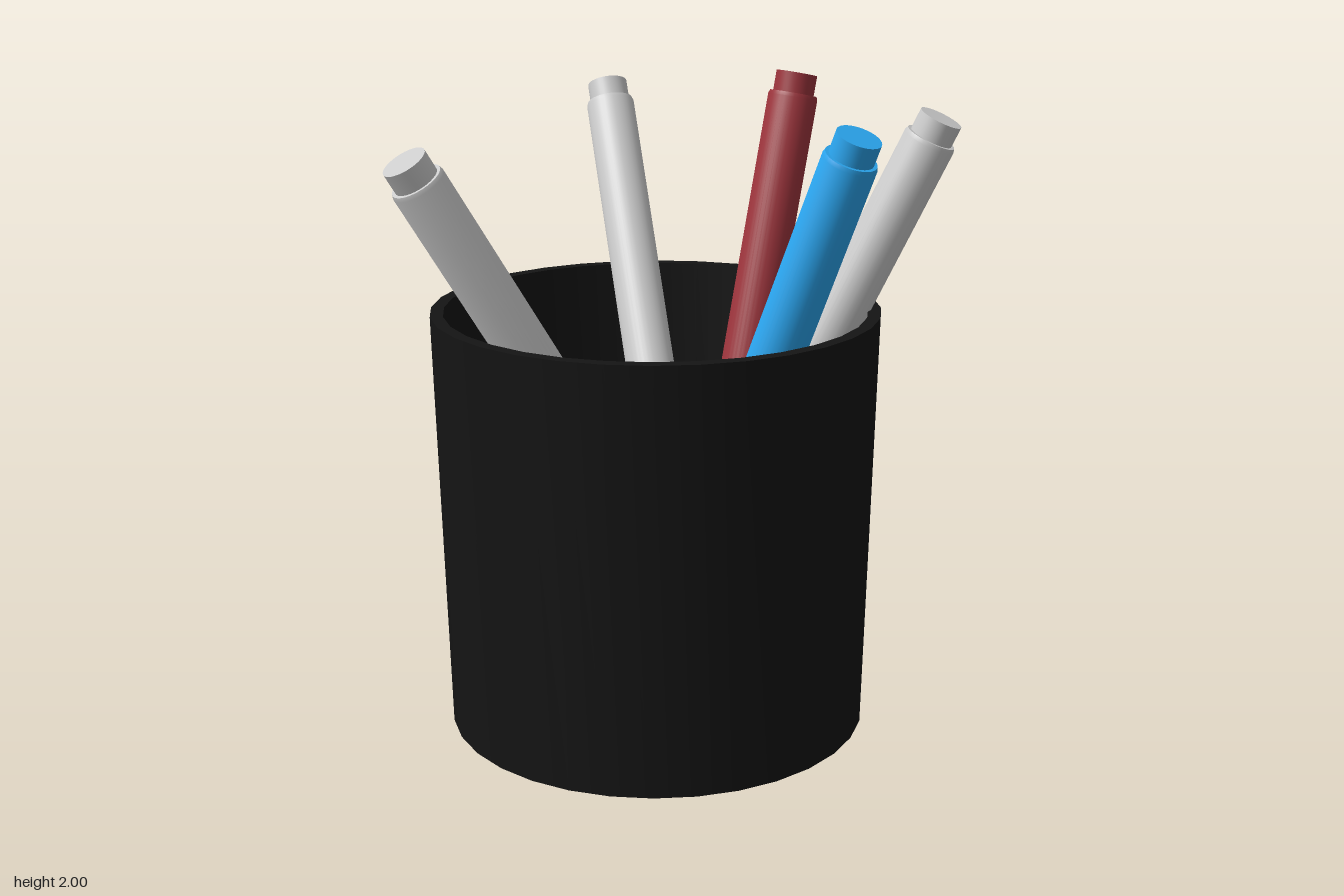
import * as THREE from 'three';
import { toCreasedNormals } from 'three/addons/utils/BufferGeometryUtils.js';

// Revolve a profile of [radius, height] pairs, keeping hard edges crisp
function lathe(profile, sides) {
  const points = profile.map(([r, y]) => new THREE.Vector2(r, y));
  return toCreasedNormals(new THREE.LatheGeometry(points, sides), 0.5);
}

const PEN_LENGTH = 1.87;

// Barrel with a softened shoulder and a narrower end plug
function createPen(name, color, tip, base) {
  const pen = new THREE.Group();
  pen.name = name;
  const material = new THREE.MeshStandardMaterial({ color });
  const shoulder = PEN_LENGTH - 0.065;

  const barrel = new THREE.Mesh(lathe([
    [0, 0], [0.08, 0], [0.08, shoulder - 0.012], [0.076, shoulder], [0, shoulder],
  ], 32), material);
  barrel.name = 'penBarrel';

  const plug = new THREE.Mesh(lathe([
    [0, shoulder - 0.01], [0.066, shoulder - 0.01], [0.066, PEN_LENGTH], [0, PEN_LENGTH],
  ], 32), material);
  plug.name = 'penEndPlug';
  pen.add(barrel, plug);

  // Lean the pen from its base towards its tip
  const top = new THREE.Vector3(...tip);
  const direction = top.clone().sub(new THREE.Vector3(...base)).normalize();
  pen.quaternion.setFromUnitVectors(new THREE.Vector3(0, 1, 0), direction);
  pen.position.copy(top).addScaledVector(direction, -PEN_LENGTH);
  return pen;
}

export function createModel() {
  const model = new THREE.Group();
  model.name = 'penHolder';

  // Slightly tapered cup with a hollow interior
  const cup = new THREE.Mesh(lathe([
    [0, 0], [0.66, 0], [0.692, 1.325], [0.652, 1.325], [0.622, 0.05], [0, 0.05],
  ], 32), new THREE.MeshStandardMaterial({ color: 0x141414 }));
  cup.name = 'cup';
  cup.position.set(-0.085, 0, 0.122);
  model.add(cup);

  // Pens: name, colour, tip centre, base centre
  const pens = [
    ['greyPenFrontRight', 0xcccccc, [-0.757, 1.868, 0.705], [0.07, 0.28, 0.17]],
    ['greyPenBack', 0xcccccc, [-0.265, 1.905, -0.755], [0.02, 0.265, 0.11]],
    ['greyPenLeft', 0xcccccc, [0.76, 1.92, 0.21], [-0.01, 0.23, -0.03]],
    ['bluePen', 0x2ba6f0, [0.48, 1.933, 0.68], [-0.065, 0.21, 0.18]],
    ['redPen', 0x9c343c, [0.362, 1.987, -0.345], [0.048, 0.16, -0.083]],
  ];
  for (const pen of pens) model.add(createPen(...pen));

  return model;
}
